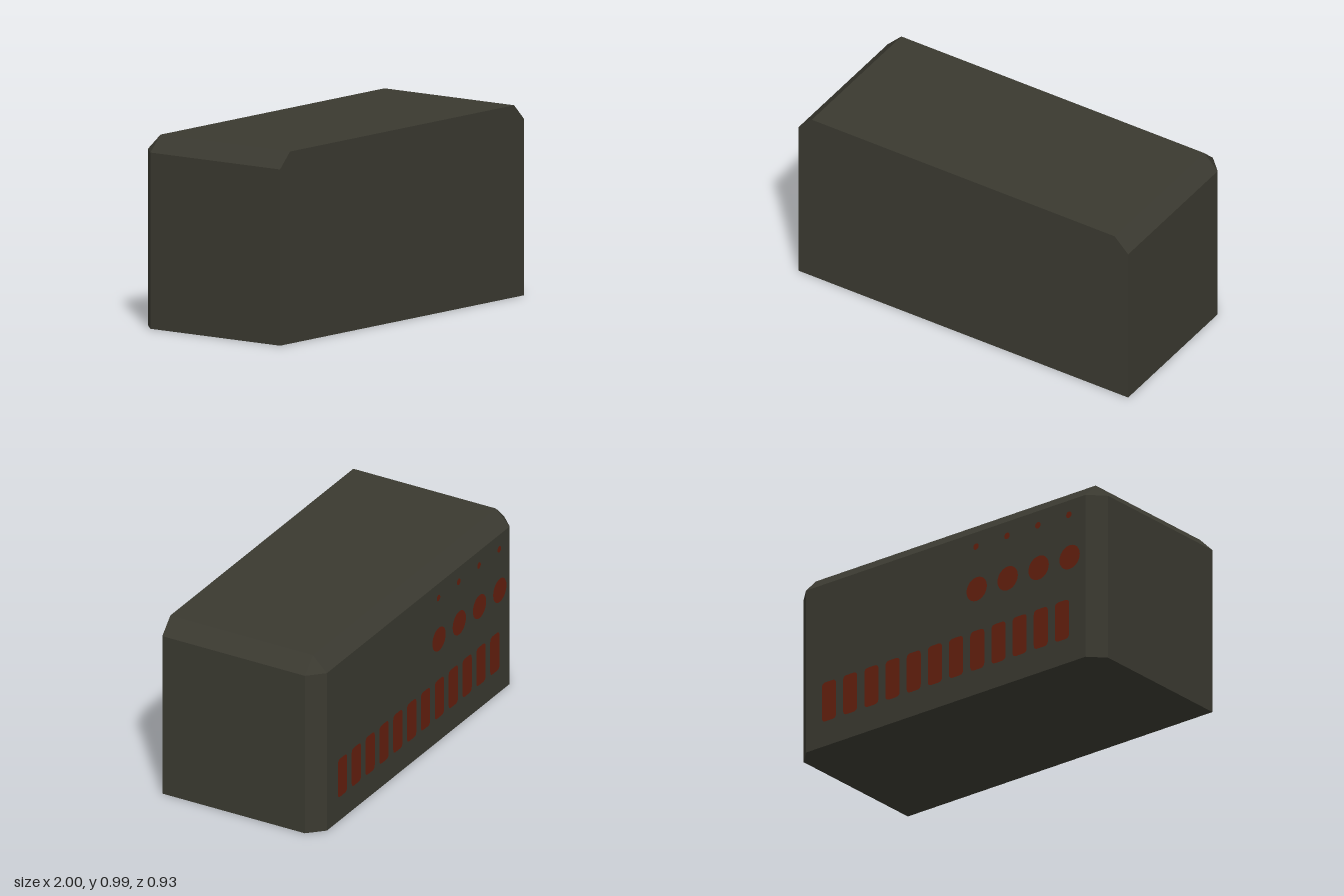
import * as THREE from 'three';
import { ConvexGeometry } from 'three/addons/geometries/ConvexGeometry.js';

const W = 1, H = 0.993, D = 0.463, C = 0.082; // half width, height, half depth, chamfer

const bodyMaterial = new THREE.MeshStandardMaterial({ color: 0x3a3930 });
bodyMaterial.name = 'dark olive casing';
const markMaterial = new THREE.MeshStandardMaterial({ color: 0x641f0e });
markMaterial.name = 'rust red';

// Casing: square front and base, chamfered top sides, top back and back corners
function casing() {
  const points = [];
  for (const s of [-1, 1]) {
    points.push(
      [s * W, 0, D], [s * W, H - C, D], [s * (W - C), H, D],
      [s * W, 0, C - D], [s * (W - C), 0, -D],
      [s * W, H - C, C - D], [s * (W - C), H - C, -D], [s * (W - C), H, C - D],
    );
  }
  const mesh = new THREE.Mesh(new ConvexGeometry(points.map((p) => new THREE.Vector3(...p))), bodyMaterial);
  mesh.name = 'casing';
  return mesh;
}

// Upright slot outline with rounded corners
function slotShape(w, h, r) {
  const x = w / 2, y = h / 2;
  const s = new THREE.Shape();
  s.moveTo(-x + r, -y);
  s.lineTo(x - r, -y);
  s.quadraticCurveTo(x, -y, x, -y + r);
  s.lineTo(x, y - r);
  s.quadraticCurveTo(x, y, x - r, y);
  s.lineTo(-x + r, y);
  s.quadraticCurveTo(-x, y, -x, y - r);
  s.lineTo(-x, -y + r);
  s.quadraticCurveTo(-x, -y, -x + r, -y);
  return s;
}

// Row of flat marks on the back face, running from x0 to x1
function markRow(name, geometry, count, x0, x1, y) {
  const row = new THREE.Group();
  row.name = name + 'Row';
  for (let i = 0; i < count; i++) {
    const mark = new THREE.Mesh(geometry, markMaterial);
    mark.name = name;
    mark.position.set(x0 + ((x1 - x0) * i) / (count - 1), y, -D - 0.002);
    mark.rotation.y = Math.PI;
    row.add(mark);
  }
  return row;
}

export function createModel() {
  const model = new THREE.Group();
  model.name = 'controlBox';
  model.add(
    casing(),
    markRow('slot', new THREE.ShapeGeometry(slotShape(0.093, 0.22, 0.025), 4), 12, 0.765, -0.765, 0.247),
    markRow('dial', new THREE.CircleGeometry(0.067, 24), 4, -0.205, -0.815, 0.59),
    markRow('lamp', new THREE.CircleGeometry(0.018, 12), 4, -0.2, -0.81, 0.83),
  );
  return model;
}
